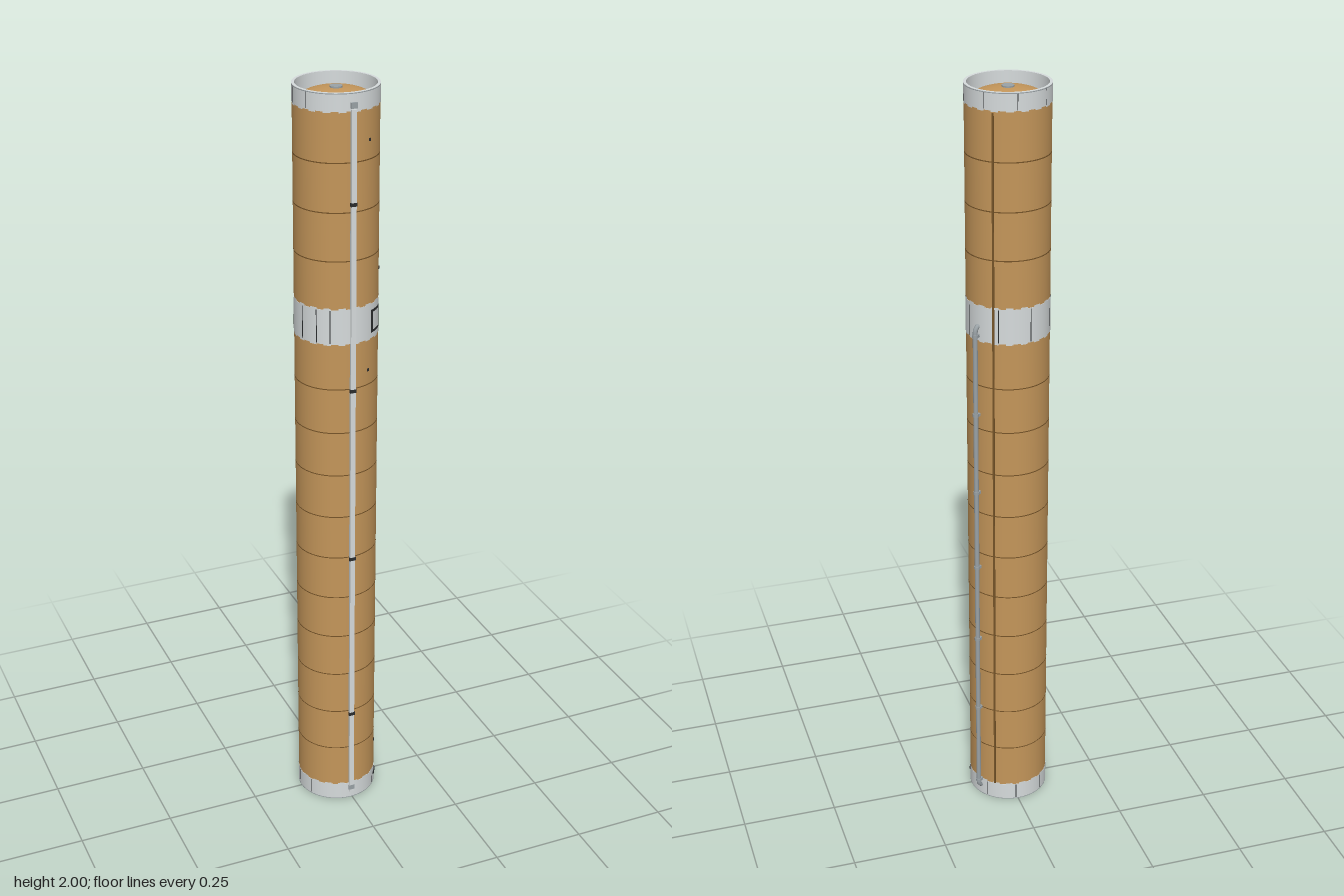
import * as THREE from 'three';

const paint = (name, color, side = THREE.FrontSide) => {
  const m = new THREE.MeshStandardMaterial({ color, side });
  m.name = name;
  return m;
};

export function createModel() {
  const tan = paint('tan foam', 0xc4965a);
  const white = paint('pale grey', 0xd6dbdc);
  const grey = paint('mid grey', 0x9aa2a6);
  const dark = paint('near black', 0x2a2c2e, THREE.DoubleSide);
  const brown = paint('seam brown', 0x765428);
  const palePlate = paint('pale plate', 0xd6dbdc, THREE.DoubleSide);

  const model = new THREE.Group();
  model.name = 'rocketCoreTank';
  const body = new THREE.Group();
  body.name = 'body';
  body.position.set(-0.003, 0, -0.003);
  model.add(body);

  const R = 0.1052, RB = 0.1062;
  const rad = THREE.MathUtils.degToRad;
  const add = (name, geo, mat, parent = body) => {
    const m = new THREE.Mesh(geo, mat);
    m.name = name;
    parent.add(m);
    return m;
  };
  // Cylinder wall between two heights
  const wall = (name, r, y0, y1, mat) => {
    const g = new THREE.CylinderGeometry(r, r, y1 - y0, 72, 1, true);
    add(name, g.translate(0, (y0 + y1) / 2, 0), mat);
  };
  // Thin curved plate; angles in degrees from the front towards +x
  const plate = (name, r, y0, y1, a0, a1, mat) => {
    const seg = Math.max(1, Math.ceil((a1 - a0) / 5));
    const g = new THREE.CylinderGeometry(r, r, y1 - y0, seg, 1, true, rad(a0), rad(a1 - a0));
    add(name, g.translate(0, (y0 + y1) / 2, 0), mat);
  };
  // Box standing on the skin at an angle
  const skinBox = (name, a, r, y, w, h, d, mat) => {
    const m = add(name, new THREE.BoxGeometry(w, h, d), mat);
    m.position.set(Math.sin(rad(a)) * r, y, Math.cos(rad(a)) * r);
    m.rotation.y = rad(a);
  };
  // Hollow ring with flat rims
  const ring = (name, y0, y1, inner, outer, mat) => {
    const pts = [[inner, y0], [outer, y0], [outer, y1], [inner, y1], [inner, y0]];
    // doubled corners keep the rims crisp
    for (let i = 0; i < 4; i++) {
      const g = new THREE.LatheGeometry([pts[i], pts[i + 1]].map(p => new THREE.Vector2(...p)), 72);
      add(name, g, mat);
    }
  };

  // Foam-covered tanks
  wall('lowerTank', R, 0.04, 1.38, tan);
  wall('upperTank', R, 1.45, 1.96, tan);

  // End skirts and the band between the tanks
  ring('bottomSkirt', 0, 0.048, 0.099, RB, white);
  ring('topSkirt', 1.956, 2, 0.099, RB, white);
  ring('middleBand', 1.372, 1.463, 0.1, RB, white);
  for (const y of [0.001, 1.998]) wall('rimLine', RB + 0.0003, y - 0.001, y + 0.001, grey);

  // Domes with a round cap
  const dome = (name, y, dir) => {
    const g = new THREE.SphereGeometry(0.099, 56, 14, 0, Math.PI * 2, 0, Math.PI / 2);
    const m = add(name, g, tan);
    m.scale.y = 0.38;
    m.position.y = y;
    if (dir < 0) m.rotation.x = Math.PI;
    const cap = add(name + 'Cap', new THREE.CylinderGeometry(0.0155, 0.0155, 0.006, 28), grey);
    cap.position.y = y + dir * 0.038;
  };
  dome('topDome', 1.95, 1);
  dome('bottomDome', 0.06, -1);

  // Weld seams around the tanks
  const seams = [];
  for (let i = 1; i < 11; i++) seams.push(0.05 + i * 0.12);
  for (let i = 1; i < 4; i++) seams.push(1.465 + i * 0.1225);
  for (const y of seams) wall('seam', R + 0.0003, y - 0.0014, y + 0.0014, brown);

  // Tabs along the band edges
  for (let a = 0; a < 360; a += 20) {
    for (const y of [0.048, 1.369, 1.463, 1.953])
      plate('edgeTab', RB, y, y + 0.004, a, a + 10, palePlate);
  }

  // Vertical stringers on the pale bands
  for (const a of [-74, -50, -31, -105, 100, 150, 195, 240])
    plate('bandLine', RB + 0.0004, 1.374, 1.461, a - 0.7, a + 0.7, dark);
  for (const a of [-64, 48, 85, 130, 175, 220, 265]) {
    plate('skirtLine', RB + 0.0004, 0.003, 0.046, a - 0.5, a + 0.5, dark);
    plate('skirtLine', RB + 0.0004, 1.958, 1.997, a - 0.5, a + 0.5, dark);
  }

  // Access hatch: dark frame with a pale panel
  plate('hatchFrame', RB + 0.0006, 1.386, 1.447, 31, 58, dark);
  plate('hatchPanel', RB + 0.0012, 1.393, 1.44, 35, 54, palePlate);

  // Front cable tray with dark clips
  skinBox('frontCableTray', 0, 0.1075, 0.99, 0.013, 1.94, 0.007, white);
  for (const s of [-1, 1]) plate('trayEdge', R + 0.0008, 0.02, 1.96, s * 3.9 - 0.35, s * 3.9 + 0.35, grey);
  for (const y of [0.28, 0.765, 1.245, 1.73])
    skinBox('trayClip', 0, 0.1075, y, 0.017, 0.009, 0.009, dark);
  for (const y of [0.035, 1.97])
    skinBox('trayEnd', 0, 0.1075, y, 0.016, 0.014, 0.0085, grey);

  // Slim conduit at the back
  skinBox('backConduit', 143, 0.1058, 1.0, 0.005, 1.9, 0.004, brown);

  // External feed pipe, bent into the body at both ends
  const A = rad(118.5);
  const at = (r, y) => new THREE.Vector3(Math.sin(A) * r, y, Math.cos(A) * r);
  const path = new THREE.CurvePath();
  const low = [at(0.1, 0.028), at(0.116, 0.028), at(0.116, 0.045)];
  const high = [at(0.116, 1.392), at(0.116, 1.41), at(0.1, 1.41)];
  path.add(new THREE.QuadraticBezierCurve3(...low));
  path.add(new THREE.LineCurve3(low[2], high[0]));
  path.add(new THREE.QuadraticBezierCurve3(...high));
  add('feedPipe', new THREE.TubeGeometry(path, 160, 0.0062, 14, false), grey);
  for (const y of [0.05, 0.29, 0.51, 0.73, 0.95, 1.17, 1.385]) {
    const c = add('pipeClamp', new THREE.CylinderGeometry(0.008, 0.008, 0.008, 16), grey);
    c.position.copy(at(0.116, y));
    skinBox('pipeBracket', 118.5, 0.109, y, 0.012, 0.008, 0.01, grey);
  }

  // Small ports on the skin
  for (const [a, y] of [[26, 1.29], [26, 1.88], [60, 1.54], [60, 0.135]])
    skinBox('port', a, R, y, 0.006, 0.007, 0.004, dark);
  for (const [a, w] of [[57, 0.012], [66, 0.006], [70, 0.004]])
    skinBox('skirtPort', a, RB, 0.026, w, 0.009, 0.004, dark);

  return model;
}
